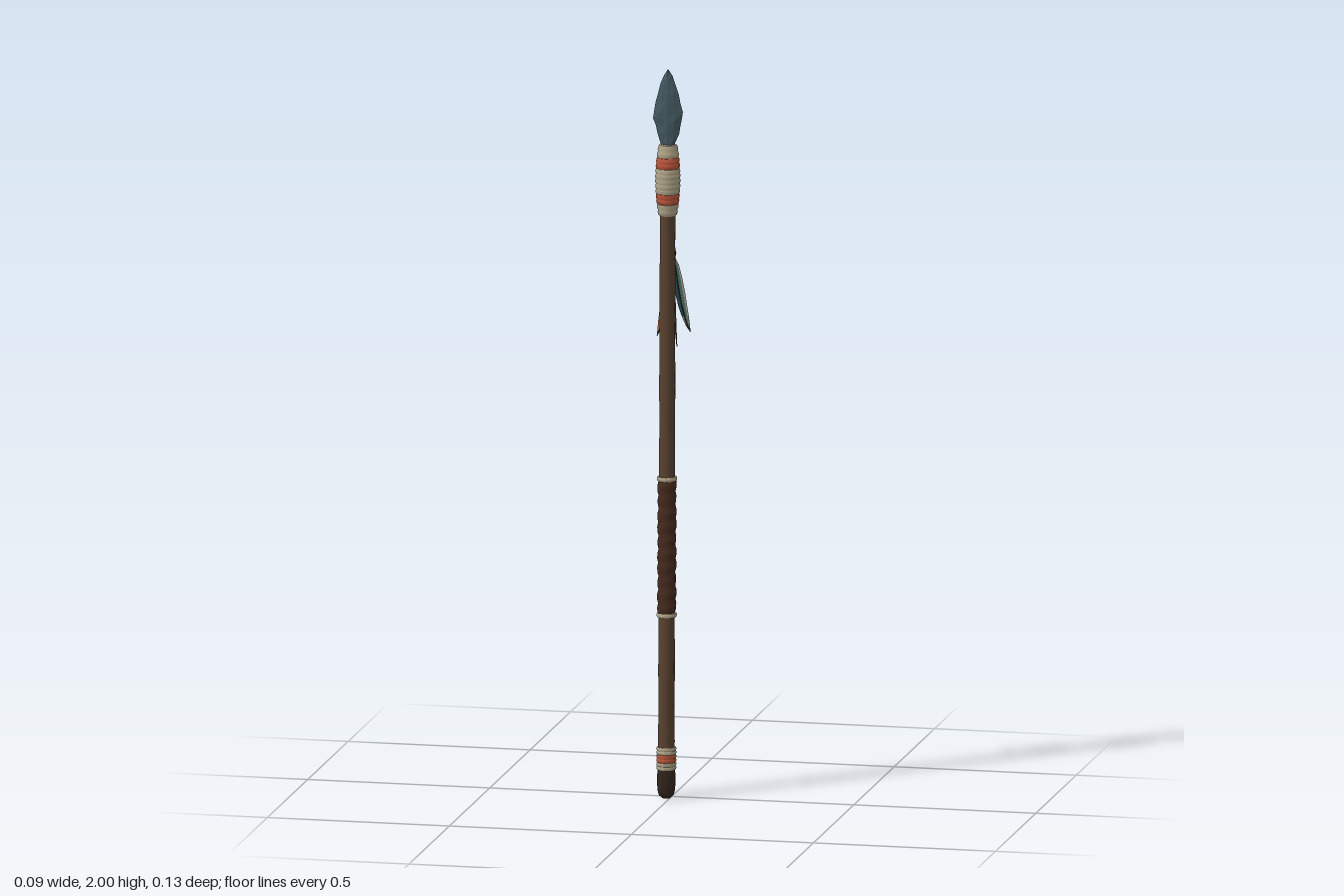
import * as THREE from 'three';
import { toCreasedNormals } from 'three/addons/utils/BufferGeometryUtils.js';

const SIDES = 10;
const mat = (color, extra = {}) => new THREE.MeshStandardMaterial({ color, ...extra });
const wood = mat(0x5a4230), leather = mat(0x472b1e), darkWood = mat(0x33261d);
const cream = mat(0xb0a488), red = mat(0xb8553a), cordMat = mat(0x2b2a28);
const stone = mat(0x43595f, { flatShading: true });
const beadMat = mat(0x2f4a55);

function add(parent, name, geometry, material) {
  const mesh = new THREE.Mesh(geometry, material);
  mesh.name = name;
  parent.add(mesh);
  return mesh;
}

// Turned part from [radius, y] pairs, bottom to top
function turned(parent, name, profile, material) {
  const geo = new THREE.LatheGeometry(profile.map(([r, y]) => new THREE.Vector2(r, y)), SIDES);
  return add(parent, name, toCreasedNormals(geo, 0.75), material);
}

// Stack of cord turns between two heights; radius(y) sets the swelling
function coil(parent, name, y0, y1, turns, radius, material, groove = 0.0018) {
  const profile = [[0, y0]], h = (y1 - y0) / turns;
  for (let i = 0; i < turns; i++) {
    const y = y0 + i * h;
    for (const [f, d] of [[0.02, groove], [0.3, 0], [0.7, 0], [0.98, groove]]) {
      profile.push([radius(y + f * h) - d, y + f * h]);
    }
  }
  profile.push([0, y1]);
  return turned(parent, name, profile, material);
}

// Chipped leaf blade: faceted lens sections lofted up to a point
function bladeGeometry() {
  const rows = [ // y, left half width, right half width, half thickness
    [1.775, 0.013, 0.013, 0.008], [1.8, 0.021, 0.02, 0.01], [1.825, 0.029, 0.031, 0.011],
    [1.845, 0.033, 0.034, 0.012], [1.865, 0.041, 0.038, 0.012], [1.885, 0.038, 0.041, 0.012],
    [1.91, 0.034, 0.034, 0.011], [1.935, 0.027, 0.029, 0.01], [1.96, 0.021, 0.02, 0.008],
    [1.982, 0.012, 0.013, 0.006], [2.0, 0.001, 0.001, 0.001],
  ];
  const ring = [[1, 0], [0.55, 0.65], [0, 1], [-0.55, 0.65], [-1, 0], [-0.55, -0.65], [0, -1], [0.55, -0.65]];
  const n = ring.length, pos = [], index = [];
  rows.forEach(([y, left, right, t], j) => ring.forEach(([x, z], i) => {
    const chip = i % 2 ? 0.85 + 0.15 * ((i + j) % 3) : 1;
    pos.push(x * (x > 0 ? right : left), y, z * t * chip);
  }));
  for (let j = 0; j < rows.length - 1; j++) {
    for (let i = 0; i < n; i++) {
      const a = j * n + i, b = j * n + (i + 1) % n;
      index.push(a, a + n, b, b, a + n, b + n);
    }
  }
  for (let i = 1; i < n - 1; i++) index.push(0, i, i + 1);
  const geo = new THREE.BufferGeometry();
  geo.setAttribute('position', new THREE.Float32BufferAttribute(pos, 3));
  geo.setIndex(index);
  geo.computeVertexNormals();
  return geo;
}

// Thin feather lying in the local x-y plane and hanging from the origin
function feather(name, angle, reach, drop, vaneColor, edgeColor, tipColor) {
  const group = new THREE.Group();
  group.name = name;
  const rows = [ // fraction of drop, inner edge, outer edge (fractions of reach)
    [0.03, 0, 0.1], [0.15, 0.02, 0.36], [0.32, 0.07, 0.54], [0.5, 0.16, 0.7],
    [0.66, 0.32, 0.8], [0.8, 0.52, 0.9], [0.92, 0.74, 0.96], [1, 0.98, 1],
  ];
  const strip = (part, from, to, u0, u1, color) => {
    const used = rows.slice(from, to);
    const at = ([d, a, b], u) => new THREE.Vector2((a + (b - a) * u) * reach, -d * drop);
    const outline = [...used.map(r => at(r, u0)), ...used.map(r => at(r, u1)).reverse()];
    add(group, part, new THREE.ShapeGeometry(new THREE.Shape(outline)), mat(color, { side: THREE.DoubleSide }));
  };
  strip('innerVane', 0, 6, 0, 0.35, 0x2f4d50);
  strip('vane', 0, 6, 0.35, 0.78, vaneColor);
  strip('outerEdge', 0, 6, 0.78, 1, edgeColor);
  strip('featherTip', 5, 8, 0, 1, tipColor);
  const quill = new THREE.CatmullRomCurve3(rows.map(([d, a, b]) =>
    new THREE.Vector3((a + (b - a) * 0.42) * reach, -d * drop, 0)));
  add(group, 'quill', new THREE.TubeGeometry(quill, 10, 0.0014, 4), cordMat);
  group.rotation.y = angle;
  return group;
}

export function createModel() {
  const model = new THREE.Group();
  model.name = 'spear';

  // Slightly leaning pole with everything wound around it
  const pole = new THREE.Group();
  pole.name = 'pole';
  pole.position.set(-0.009, 0, 0.028);
  pole.rotation.set(0.002, 0, -0.003);
  model.add(pole);

  const shaftProfile = [[0, 0.06]];
  for (let i = 0; i <= 16; i++) {
    shaftProfile.push([0.0222 - 0.0012 * i / 16 + 0.0007 * Math.sin(i * 2.4), 0.06 + i * 0.0975]);
  }
  turned(pole, 'shaft', [...shaftProfile, [0, 1.62]], wood);
  turned(pole, 'buttCap', [[0, 0], [0.012, 0.002], [0.02, 0.01], [0.024, 0.025], [0.025, 0.06], [0.023, 0.085], [0, 0.085]], darkWood);

  // Cord binding near the butt
  const buttRadius = () => 0.027;
  coil(pole, 'buttBindingLow', 0.08, 0.1, 2, buttRadius, cream);
  coil(pole, 'buttBindingMiddle', 0.1, 0.122, 2, buttRadius, red);
  coil(pole, 'buttBindingHigh', 0.122, 0.142, 2, buttRadius, cream);

  // Leather grip with slanting turns, held by a cord ring at each end
  const grip = coil(pole, 'grip', 0.505, 0.875, 10, y => 0.0255 + 0.0007 * Math.sin(y * 60), leather, 0.0025);
  const p = grip.geometry.attributes.position;
  for (let i = 0; i < p.count; i++) p.setY(i, p.getY(i) + 0.25 * p.getX(i));
  grip.geometry = toCreasedNormals(grip.geometry, 0.75);
  for (const y of [0.498, 0.872]) coil(pole, 'gripRing', y, y + 0.012, 1, () => 0.0275, cream);

  // Swelling cord binding below the blade
  const headRadius = y => 0.0245 + 0.0095 * Math.pow(Math.sin(Math.PI * THREE.MathUtils.clamp((y - 1.598) / 0.2, 0.001, 0.999)), 0.8);
  const bands = [[1.6, 1.632, 2, cream], [1.632, 1.66, 2, red], [1.66, 1.73, 5, cream], [1.73, 1.76, 2, red], [1.76, 1.794, 2, cream]];
  bands.forEach(([a, b, turns, m], i) => coil(pole, `headBinding${i + 1}`, a, b, turns, headRadius, m));

  add(pole, 'blade', bladeGeometry(), stone);

  // Feathers hanging from a knotted cord at the back
  const charm = new THREE.Group();
  charm.name = 'featherCharm';
  charm.position.set(0, 1.49, -0.005);
  model.add(charm);
  const cord = (name, points) => add(charm, name, new THREE.TubeGeometry(
    new THREE.CatmullRomCurve3(points.map(q => new THREE.Vector3(...q))), 10, 0.003, 5), cordMat);
  cord('hangingCord', [[-0.003, 0.125, 0.014], [-0.001, 0.07, 0.008], [0, 0, 0]]);
  cord('looseCord', [[0, 0, 0], [0.003, -0.05, 0.005], [0, -0.11, 0.006]]);
  const bead = add(charm, 'bead', new THREE.SphereGeometry(0.0115, 8, 6), beadMat);
  bead.scale.y = 1.15;
  charm.add(
    feather('middleFeather', Math.PI / 2, 0.061, 0.27, 0x2f8f96, 0x9fb0a4, 0xa89c88),
    feather('leftFeather', Math.PI * 0.14, 0.051, 0.22, 0x4f7a74, 0xb0a890, 0x7c8a7c),
    feather('rightFeather', Math.PI * 0.86, 0.052, 0.235, 0x4f7a74, 0xb0a890, 0xa8604c),
  );
  return model;
}
